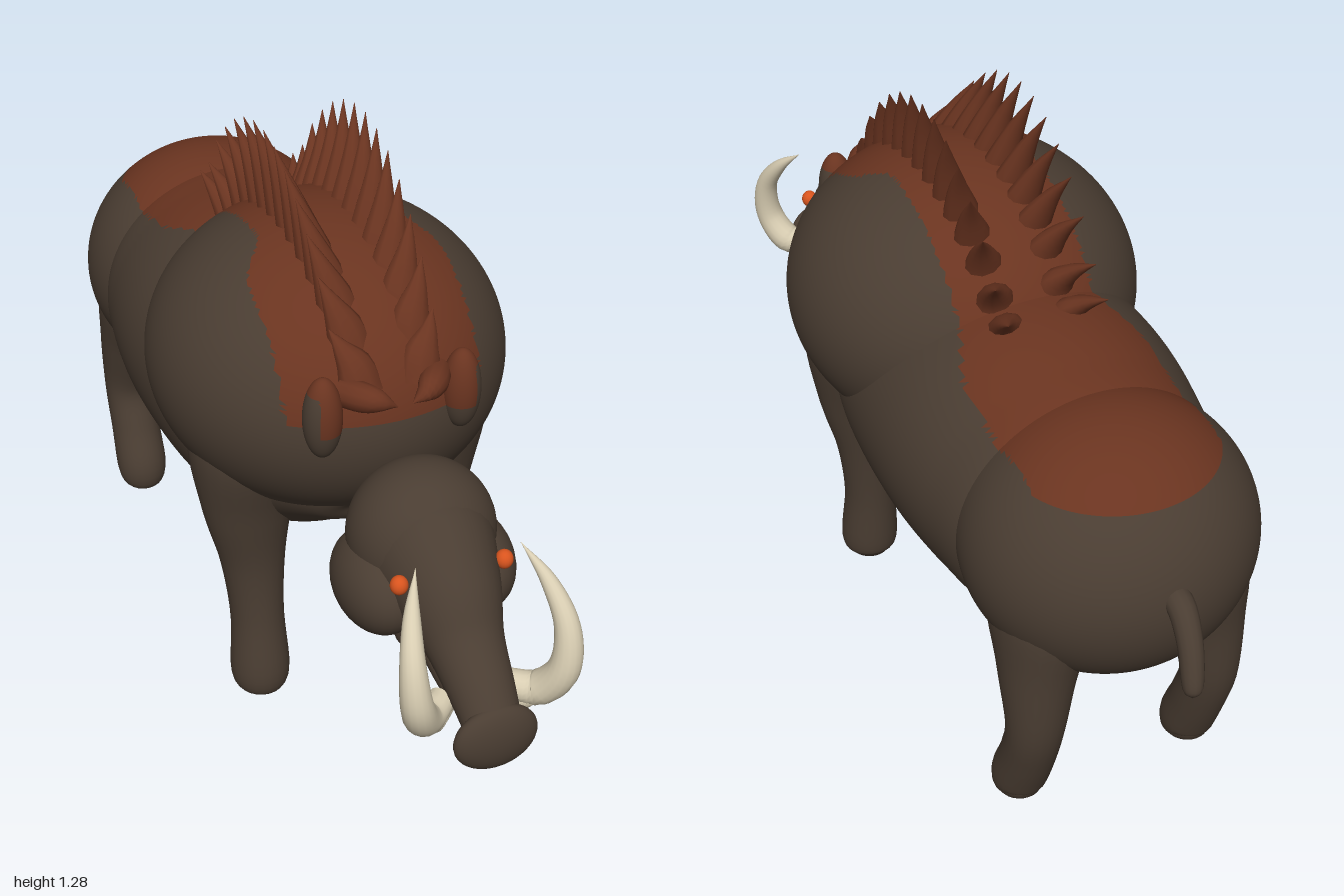
import * as THREE from 'three';

const mat = (name, color) => Object.assign(new THREE.MeshStandardMaterial({ color }), { name });

// Smooth skin through stations [x, y, z, sideRadius, otherRadius], oriented by the x axis
function sweep(stations, rings = 24, sides = 20) {
  const path = new THREE.CatmullRomCurve3(stations.map(s => new THREE.Vector3(s[0], s[1], s[2])), false, 'catmullrom');
  const size = new THREE.CatmullRomCurve3(stations.map(s => new THREE.Vector3(s[3], s[4] ?? s[3], 0)), false, 'catmullrom');
  const pos = [], idx = [];
  const A = new THREE.Vector3(), B = new THREE.Vector3();
  for (let i = 0; i <= rings; i++) {
    const p = path.getPoint(i / rings), T = path.getTangent(i / rings), r = size.getPoint(i / rings);
    A.set(1, 0, 0).addScaledVector(T, -T.x).normalize();
    B.crossVectors(T, A);
    for (let j = 0; j < sides; j++) {
      const t = j / sides * Math.PI * 2;
      const v = p.clone().addScaledVector(A, Math.cos(t) * Math.max(r.x, 0.0005))
        .addScaledVector(B, Math.sin(t) * Math.max(r.y, 0.0005));
      pos.push(v.x, v.y, v.z);
      if (i < rings) {
        const a = i * sides + j, b = i * sides + (j + 1) % sides;
        idx.push(a, b, a + sides, b, b + sides, a + sides);
      }
    }
  }
  const g = new THREE.BufferGeometry();
  g.setAttribute('position', new THREE.Float32BufferAttribute(pos, 3));
  g.setIndex(idx);
  g.computeVertexNormals();
  return g;
}

function ellipsoid(c, r, w = 32, h = 24) {
  return new THREE.SphereGeometry(1, w, h).scale(...r).translate(...c);
}

// Half width of the reddish back patch at each z
function patchWidth(z) {
  const { smoothstep } = THREE.MathUtils;
  if (z < -0.82) return 0;
  const rear = 0.2 - 0.05 * smoothstep(z, -0.38, -0.2) - 0.07 * (1 - smoothstep(z, -0.82, -0.74));
  return rear + 0.06 * smoothstep(z, 0.1, 0.22);
}

// Split faces into hide (0) and mane colour (1)
function paint(g, inside) {
  const p = g.attributes.position, ix = g.index.array, lists = [[], []];
  for (let i = 0; i < ix.length; i += 3) {
    const f = [ix[i], ix[i + 1], ix[i + 2]];
    const mid = k => (p.getComponent(f[0], k) + p.getComponent(f[1], k) + p.getComponent(f[2], k)) / 3;
    lists[inside(mid(0), mid(1), mid(2)) ? 1 : 0].push(...f);
  }
  g.setIndex(lists[0].concat(lists[1]));
  g.clearGroups();
  g.addGroup(0, lists[0].length, 0);
  g.addGroup(lists[0].length, lists[1].length, 1);
  return g;
}

export function createModel() {
  const model = new THREE.Group();
  model.name = 'boar';
  const hide = mat('hide brown', 0x4a3d32), red = mat('mane red brown', 0x6a3420);
  const ivory = mat('tusk ivory', 0xd8cdb2), orange = mat('eye orange', 0xd8541e);
  const add = (name, geometry, material) => {
    const m = new THREE.Mesh(geometry, material);
    m.name = name;
    model.add(m);
    return m;
  };
  const onBack = (x, y, z) => y > 0.83 && Math.abs(x) < patchWidth(z);

  // Torso
  add('shoulders', paint(ellipsoid([0, 0.79, 0.1], [0.378, 0.32, 0.385], 128, 96), onBack), [hide, red]);
  add('rump', paint(ellipsoid([0, 0.63, -0.6], [0.305, 0.285, 0.29], 112, 84), onBack), [hide, red]);
  add('barrel', paint(sweep([
    [0, 0.56, 0.37, 0, 0], [0, 0.57, 0.35, 0.12, 0.08], [0, 0.6, 0.25, 0.24, 0.19], [0, 0.62, 0.1, 0.3, 0.26],
    [0, 0.63, -0.05, 0.325, 0.3], [0, 0.635, -0.25, 0.333, 0.31], [0, 0.625, -0.42, 0.315, 0.295],
    [0, 0.61, -0.55, 0.28, 0.27], [0, 0.61, -0.7, 0.18, 0.18], [0, 0.61, -0.74, 0, 0],
  ], 108, 112), onBack), [hide, red]);

  // Tail
  add('tail', sweep([[0, 0.67, -0.85, 0.03], [0, 0.66, -0.9, 0.028], [0.005, 0.61, -0.945, 0.025],
    [0.013, 0.55, -0.975, 0.022], [0.016, 0.525, -0.983, 0.016], [0.018, 0.515, -0.987, 0]], 24, 14), hide);

  // Head
  add('skull', ellipsoid([0, 0.655, 0.605], [0.15, 0.15, 0.14], 48, 32), hide);
  add('snout', sweep([[0, 0.66, 0.56, 0.1, 0.1], [0, 0.64, 0.64, 0.13, 0.14], [0, 0.595, 0.74, 0.105, 0.115],
    [0, 0.535, 0.82, 0.078, 0.078], [0, 0.48, 0.9, 0.065, 0.062], [0, 0.44, 0.95, 0.058, 0.05]], 32, 28), hide);
  add('lowerJaw', sweep([[0, 0.57, 0.5, 0.05], [0, 0.54, 0.58, 0.08, 0.05], [0, 0.49, 0.74, 0.065, 0.045],
    [0, 0.445, 0.86, 0.05, 0.035], [0, 0.425, 0.89, 0, 0]], 24, 20), hide);
  add('noseDisc', ellipsoid([0, 0.42, 0.965], [0.087, 0.073, 0.032]), hide);

  // Paired parts
  for (const s of [1, -1]) {
    const side = s > 0 ? 'left' : 'right';
    const pair = (name, pts, material, rings, sides) =>
      add(side + name, sweep(pts.map(([x, ...rest]) => [x * s, ...rest]), rings, sides), material);

    pair('FrontLeg', [[0.195, 0, 0.21, 0], [0.195, 0.012, 0.21, 0.045], [0.195, 0.055, 0.21, 0.065],
      [0.195, 0.2, 0.195, 0.059], [0.2, 0.35, 0.185, 0.072, 0.066], [0.21, 0.5, 0.185, 0.1, 0.09],
      [0.21, 0.66, 0.18, 0.12, 0.13], [0.2, 0.76, 0.17, 0.08]], hide, 36, 24);
    pair('HindLeg', [[0.2, 0, -0.635, 0], [0.2, 0.014, -0.632, 0.045], [0.2, 0.055, -0.63, 0.06],
      [0.2, 0.15, -0.668, 0.059], [0.2, 0.26, -0.698, 0.062], [0.19, 0.4, -0.68, 0.08, 0.095],
      [0.17, 0.54, -0.65, 0.1, 0.14], [0.15, 0.64, -0.63, 0.06]], hide, 36, 24);

    add(side + 'Cheek', ellipsoid([0.1 * s, 0.57, 0.62], [0.085, 0.1, 0.125]), hide);
    add(side + 'Eye', ellipsoid([0.11 * s, 0.655, 0.75], [0.018, 0.02, 0.018], 20, 14), orange);
    add(side + 'Ear', paint(ellipsoid([0.148 * s, 0.86, 0.455], [0.04, 0.09, 0.04], 40, 40),
      (x, y) => y > 0.83 && (Math.abs(x) < 0.165 || y > 0.92)), [hide, red]);

    // Tusks
    pair('UpperTusk', [[0.07, 0.455, 0.87, 0.028], [0.12, 0.455, 0.905, 0.035], [0.152, 0.52, 0.938, 0.032],
      [0.158, 0.61, 0.925, 0.025], [0.14, 0.685, 0.875, 0.016], [0.108, 0.742, 0.815, 0]], ivory, 30, 16);
    pair('LowerTusk', [[0.045, 0.43, 0.85, 0.018], [0.085, 0.42, 0.885, 0.018],
      [0.1, 0.435, 0.91, 0.012], [0.105, 0.47, 0.925, 0]], ivory, 14, 12);

    // Forelock tufts
    pair('Forelock', [[0.1, 0.9, 0.44, 0.03], [0.075, 0.905, 0.48, 0.03], [0.05, 0.905, 0.505, 0.022],
      [0.015, 0.89, 0.515, 0]], red, 12, 12);

    // Row of bristles leaning back and out
    const count = 14;
    for (let i = 0; i < count; i++) {
      const u = i / (count - 1), z = 0.43 - 0.7 * u;
      const hump = 0.79 + 0.32 * Math.sqrt(Math.max(0, 1 - ((z - 0.1) / 0.385) ** 2));
      const y = Math.max(hump, z < -0.1 ? 0.935 : 0) - 0.015;
      const h = 0.075 + 0.11 * Math.sin(Math.PI * Math.min(1, u * 1.05)), lean = 0.04 + 0.055 * u;
      pair('Bristle' + (i + 1), [[0.06, y - 0.05, z + 0.015, 0.045, 0.032], [0.07, y, z, 0.04, 0.028],
        [0.09, y + h * 0.5, z - lean * 0.4, 0.021, 0.016], [0.11, y + h, z - lean, 0]], red, 10, 10);
    }
  }
  return model;
}
